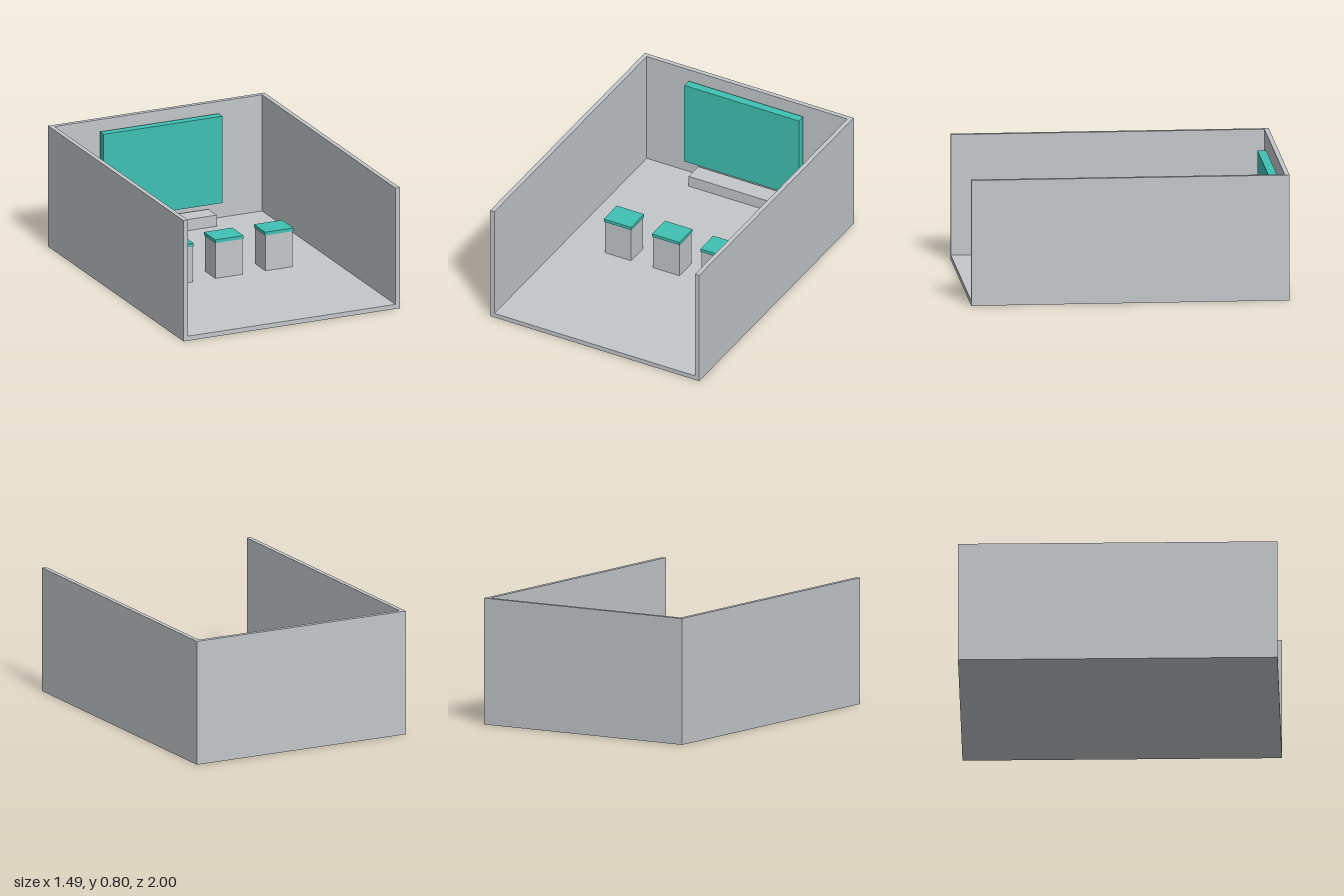
import * as THREE from 'three';

export function createModel() {
  const grey = new THREE.MeshStandardMaterial({ color: 0xc3c7ca });
  grey.name = 'lightGrey';
  const teal = new THREE.MeshStandardMaterial({ color: 0x40c1b3 });
  teal.name = 'teal';

  const model = new THREE.Group();
  model.name = 'exhibitionBooth';

  // Box given by its extents on each axis
  const box = (name, material, [x0, x1], [y0, y1], [z0, z1], parent = model) => {
    const mesh = new THREE.Mesh(new THREE.BoxGeometry(x1 - x0, y1 - y0, z1 - z0), material);
    mesh.position.set((x0 + x1) / 2, (y0 + y1) / 2, (z0 + z1) / 2);
    mesh.name = name;
    parent.add(mesh);
  };

  const W = 0.747, H = 0.8, T = 0.03;

  // Open-fronted shell: floor, back wall and two side walls
  box('floor', grey, [-W + T, W - T], [0, T], [-1 + T, 1]);
  box('backWall', grey, [-W + T, W - T], [0, H], [-1, -1 + T]);
  box('leftWall', grey, [W - T, W], [0, H], [-1, 1]);
  box('rightWall', grey, [-W, -W + T], [0, H], [-1, 1]);

  // Display panel with a low plinth below it
  box('displayPanel', teal, [-0.41, 0.41], [0.15, 0.725], [-0.955, -0.9]);
  box('panelPlinth', grey, [-0.337, 0.337], [T, 0.104], [-0.95, -0.826]);

  // Three pedestals with overhanging tops
  for (const x of [-0.345, 0, 0.345]) {
    const pedestal = new THREE.Group();
    pedestal.name = 'pedestal';
    pedestal.position.set(x, 0, -0.003);
    box('pedestalBody', grey, [-0.094, 0.094], [T, 0.267], [-0.077, 0.077], pedestal);
    box('pedestalTop', teal, [-0.098, 0.098], [0.267, 0.288], [-0.084, 0.084], pedestal);
    model.add(pedestal);
  }

  return model;
}
